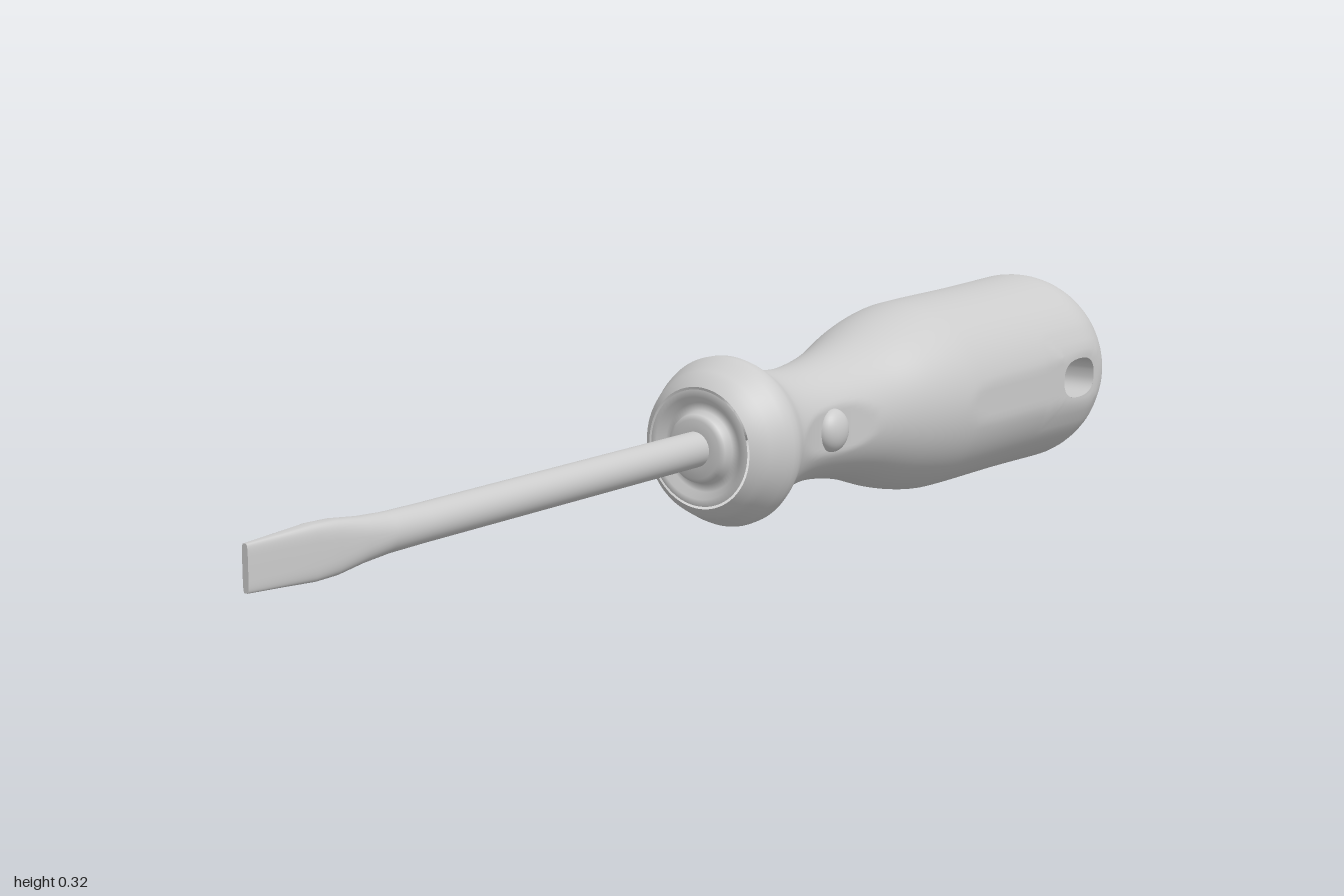
import * as THREE from 'three';

const AXIS_Y = 0.16;
const material = new THREE.MeshStandardMaterial({ color: 0xcccccc, side: THREE.DoubleSide });
const spow = (v, p) => Math.sign(v) * Math.abs(v) ** p;

// Grid surface, closed around j; skip(i, j) leaves out cells.
function gridSurface(rows, sides, point, skip = () => false) {
  const position = [], index = [];
  for (let i = 0; i < rows; i++)
    for (let j = 0; j < sides; j++) position.push(...point(i, j));
  for (let i = 0; i < rows - 1; i++)
    for (let j = 0; j < sides; j++) {
      if (skip(i, j)) continue;
      const k = (j + 1) % sides;
      const a = i * sides + j, b = a + sides, c = b - j + k, d = i * sides + k;
      index.push(a, b, c, a, c, d);
    }
  const g = new THREE.BufferGeometry();
  g.setAttribute('position', new THREE.Float32BufferAttribute(position, 3));
  g.setIndex(index);
  g.computeVertexNormals();
  return g;
}

// Handle outline: (x, radius), closed by a rounded end
const outline = new THREE.SplineCurve([
  [-0.06, 0.085], [-0.045, 0.105], [-0.02, 0.118], [0.01, 0.131], [0.035, 0.124], [0.07, 0.106],
  [0.12, 0.094], [0.18, 0.09], [0.25, 0.097], [0.32, 0.112], [0.4, 0.137], [0.47, 0.152],
  [0.53, 0.156], [0.7, 0.157], [0.85, 0.16],
].map(p => new THREE.Vector2(...p))).getPoints(400);
const DOME = 0.85;

function radiusAt(x) {
  if (x >= DOME) return 0.16 * Math.sqrt(Math.max(0, 1 - ((x - DOME) / (1 - DOME)) ** 2));
  const n = Math.max(1, outline.findIndex(p => p.x >= x));
  const a = outline[n - 1], b = outline[n];
  return THREE.MathUtils.mapLinear(x, a.x, b.x, a.y, b.y);
}

const driftAt = x => -0.009 * (1 - THREE.MathUtils.clamp(x, 0, 1));

// Point on the handle: round, with flat side panels and scooped finger rests
function handlePoint(x, angle) {
  const r = radiusAt(x);
  const limit = Math.min(0.153, 0.082 + 2 * (x - 0.18) ** 2);
  const z = THREE.MathUtils.clamp(r * Math.cos(angle), -limit, limit);
  return [x, AXIS_Y + r * Math.sin(angle), z + driftAt(x)];
}

// Hanging slot: centre, half length along x, half height as an angle
const SLOT = { x: 0.82, length: 0.05, angle: 0.21 };
const slotEdge = phi => [
  SLOT.length * spow(Math.cos(phi), 0.8),
  SLOT.angle * spow(Math.sin(phi), 0.8),
];

function makeHandle() {
  const SIDES = 96, STEP = 0.0125, HALF = 8, HOLE = 4;
  const start = -0.055, slotRow = 70;
  const xs = [];
  for (let i = 0; i <= slotRow + HALF; i++) xs.push(start + i * STEP);
  const last = Math.asin((xs[xs.length - 1] - DOME) / (1 - DOME));
  for (let i = 1; i <= 16; i++)
    xs.push(DOME + (1 - DOME) * Math.sin(last + (Math.PI / 2 - last) * i / 16));

  // Steps from the middle of the nearer slot (front j = 0, back j = SIDES / 2)
  const around = j => {
    const h = SIDES / 2;
    return ((j + h / 2) % h) - h / 2;
  };
  const point = (i, j) => {
    const a = i - slotRow, b = around(j), m = Math.max(Math.abs(a), Math.abs(b));
    const angle = j / SIDES * Math.PI * 2;
    if (m > HALF || m < HOLE) return handlePoint(xs[i], angle);
    // Cells next to the slot are drawn onto its rounded edge
    const t = (m - HOLE) / (HALF - HOLE);
    const [ex, ea] = slotEdge(Math.atan2(b, a));
    const offset = b / SIDES * Math.PI * 2;
    return handlePoint(
      THREE.MathUtils.lerp(SLOT.x + ex, xs[i], t),
      angle - offset + THREE.MathUtils.lerp(ea, offset, t));
  };
  const inSlot = (i, j) =>
    Math.abs(i + 0.5 - slotRow) < HOLE && Math.abs(around(j) + 0.5) < HOLE;
  return gridSurface(xs.length, SIDES, point, inSlot);
}

// Wall of the slot, from the front panel to the back panel
function makeSlotWall() {
  return gridSurface(2, 48, (i, j) => {
    const [ex, ea] = slotEdge(j / 48 * Math.PI * 2);
    return handlePoint(SLOT.x + ex, i ? ea : Math.PI - ea);
  });
}

// Shaft and blade sections: x, half height, half depth, z, roundness power
function makeShaft() {
  const sections = [
    [-1, 0, 0, -0.014, 0.4], [-1, 0.032, 0.005, -0.014, 0.4], [-1, 0.032, 0.005, -0.014, 0.4],
    [-0.94, 0.035, 0.011, -0.012, 0.45], [-0.89, 0.038, 0.016, -0.01, 0.5],
    [-0.85, 0.037, 0.019, -0.009, 0.6], [-0.8, 0.031, 0.022, -0.009, 0.8],
    [-0.75, 0.028, 0.025, -0.009, 1], [-0.68, 0.027, 0.027, -0.009, 1],
    [-0.04, 0.027, 0.027, -0.009, 1],
  ];
  return gridSurface(sections.length, 40, (i, j) => {
    const [x, h, d, z, p] = sections[i], t = j / 40 * Math.PI * 2;
    return [x, AXIS_Y + h * spow(Math.sin(t), p), z + d * spow(Math.cos(t), p)];
  });
}

export function createModel() {
  const group = new THREE.Group();
  const add = (name, geometry) => {
    const mesh = new THREE.Mesh(geometry, material);
    mesh.name = name;
    group.add(mesh);
    return mesh;
  };

  add('handle', makeHandle());
  add('hangingSlot', makeSlotWall());
  add('shaftAndBlade', makeShaft());

  // Ringed nose where the shaft enters the handle
  const nose = add('handleNose', new THREE.LatheGeometry([
    [0.025, 0.066], [0.045, 0.066], [0.052, 0.06], [0.056, 0.047],
    [0.068, 0.046], [0.078, 0.057], [0.089, 0.055],
  ].map(p => new THREE.Vector2(...p)), 64));
  nose.rotation.z = Math.PI / 2;
  nose.position.set(0, AXIS_Y, driftAt(0));

  // Raised buttons in the finger rests
  for (const side of [1, -1]) {
    const button = add(side > 0 ? 'frontButton' : 'backButton', new THREE.SphereGeometry(1, 32, 20));
    button.scale.set(0.034, 0.034, 0.022);
    button.position.set(0.18, AXIS_Y, side * 0.081 + driftAt(0.18));
  }
  return group;
}
